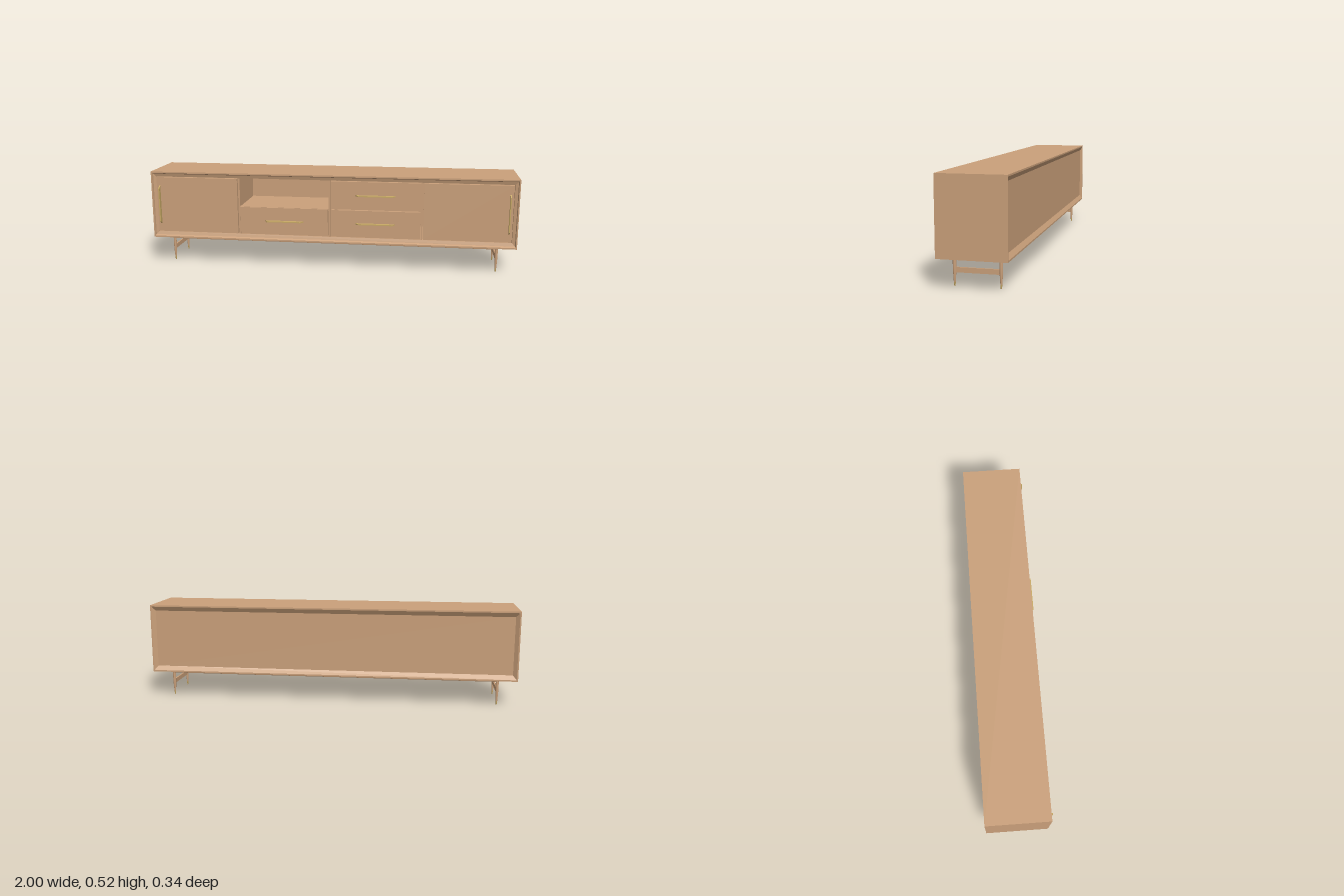
import * as THREE from 'three';

const wood = new THREE.MeshStandardMaterial({ color: 0xcaa07a });
wood.name = 'wood';
const brass = new THREE.MeshStandardMaterial({ color: 0xc9aa66 });
brass.name = 'brass';

// Flat-faced skin over a row of four-cornered loops, closed at both ends
function loft(loops) {
  const pos = [];
  const quad = (a, b, c, d) => pos.push(...a, ...b, ...c, ...a, ...c, ...d);
  for (let k = 0; k < loops.length - 1; k++) {
    const a = loops[k], b = loops[k + 1];
    for (let i = 0; i < 4; i++) {
      const j = (i + 1) % 4;
      quad(a[i], b[i], b[j], a[j]);
    }
  }
  quad(...loops[0]);
  quad(...[...loops[loops.length - 1]].reverse());
  const geo = new THREE.BufferGeometry();
  geo.setAttribute('position', new THREE.Float32BufferAttribute(pos, 3));
  geo.computeVertexNormals();
  return geo;
}

const frontLoop = (w, y0, y1, z) => [[-w, y0, z], [w, y0, z], [w, y1, z], [-w, y1, z]];
const flatLoop = (w, z0, z1, y) => [[-w, y, z1], [w, y, z1], [w, y, z0], [-w, y, z0]];

export function createModel() {
  const model = new THREE.Group();
  model.name = 'sideboard';

  const add = (name, geo, mat, x = 0, y = 0, z = 0) => {
    const mesh = new THREE.Mesh(geo, mat);
    mesh.name = name;
    mesh.position.set(x, y, z);
    model.add(mesh);
    return mesh;
  };
  // Box given by its limits
  const box = (name, x0, x1, y0, y1, z0, z1) =>
    add(name, new THREE.BoxGeometry(x1 - x0, y1 - y0, z1 - z0), wood,
      (x0 + x1) / 2, (y0 + y1) / 2, (z0 + z1) / 2);

  // Carcass: hollow inside, bevelled rim at the front, shallow recess at the back
  add('carcass', loft([
    frontLoop(0.974, 0.174, 0.488, -0.15),
    frontLoop(0.974, 0.174, 0.488, 0.143),
    frontLoop(0.99, 0.157, 0.504, 0.148),
    frontLoop(0.993, 0.151, 0.509, 0.158),
    frontLoop(1, 0.143, 0.517, 0.158),
    frontLoop(1, 0.143, 0.517, -0.17),
    frontLoop(0.993, 0.151, 0.509, -0.17),
    frontLoop(0.974, 0.174, 0.486, -0.156),
  ]), wood);

  // Dividers and shelf of the open compartment
  for (const x of [-0.505, -0.002, 0.497]) {
    box('divider', x - 0.005, x + 0.005, 0.174, 0.488, -0.15, 0.143);
  }
  box('shelf', -0.5, -0.007, 0.32, 0.33, -0.15, 0.143);

  // Doors and drawer fronts
  const faceZ = 0.151;
  box('leftDoor', 0.505, 0.971, 0.178, 0.485, 0.13, faceZ);
  box('rightDoor', -0.971, -0.513, 0.178, 0.485, 0.13, faceZ);
  box('lowerRightDrawer', -0.497, -0.011, 0.178, 0.329, 0.13, faceZ);
  box('lowerLeftDrawer', 0.006, 0.489, 0.178, 0.327, 0.13, faceZ);
  box('upperLeftDrawer', 0.006, 0.489, 0.334, 0.485, 0.13, faceZ);

  // Slim pulls with slanted ends
  const pullShape = new THREE.Shape([[-0.107, 0], [0.107, 0], [0.094, 0.02], [-0.094, 0.02]]
    .map(([x, y]) => new THREE.Vector2(x, y)));
  const pullGeo = new THREE.ExtrudeGeometry(pullShape, { depth: 0.006, bevelEnabled: false })
    .translate(0, 0, -0.003).rotateX(Math.PI / 2);
  for (const [x, y] of [[-0.252, 0.255], [0.247, 0.255], [0.247, 0.41]]) {
    add('drawerPull', pullGeo, brass, x, y, faceZ);
  }
  for (const side of [-1, 1]) {
    add('doorPull', pullGeo, brass, side * 0.954, 0.33, faceZ).rotation.z = Math.PI / 2;
  }

  // Base plate with undercut ends
  add('basePlate', loft([
    flatLoop(0.925, -0.125, 0.117, 0.143),
    flatLoop(0.92, -0.125, 0.117, 0.139),
    flatLoop(0.905, -0.119, 0.113, 0.127),
  ]), wood);

  // Tapered legs with brass tips, joined in pairs by a stretcher
  const lathe = pts => new THREE.LatheGeometry(pts.map(([r, y]) => new THREE.Vector2(r, y)), 20);
  const legGeo = lathe([[0.0046, 0.02], [0.0062, 0.045], [0.0078, 0.075], [0.0083, 0.1], [0.008, 0.13]]);
  const tipGeo = lathe([[0, 0], [0.0028, 0], [0.0046, 0.02]]);
  for (const x of [-0.9, 0.9]) {
    for (const z of [0.104, -0.112]) {
      add('leg', legGeo, wood, x, 0, z);
      add('legTip', tipGeo, brass, x, 0, z);
    }
    box('stretcher', x - 0.004, x + 0.004, 0.064, 0.088, -0.112, 0.104);
  }
  return model;
}
